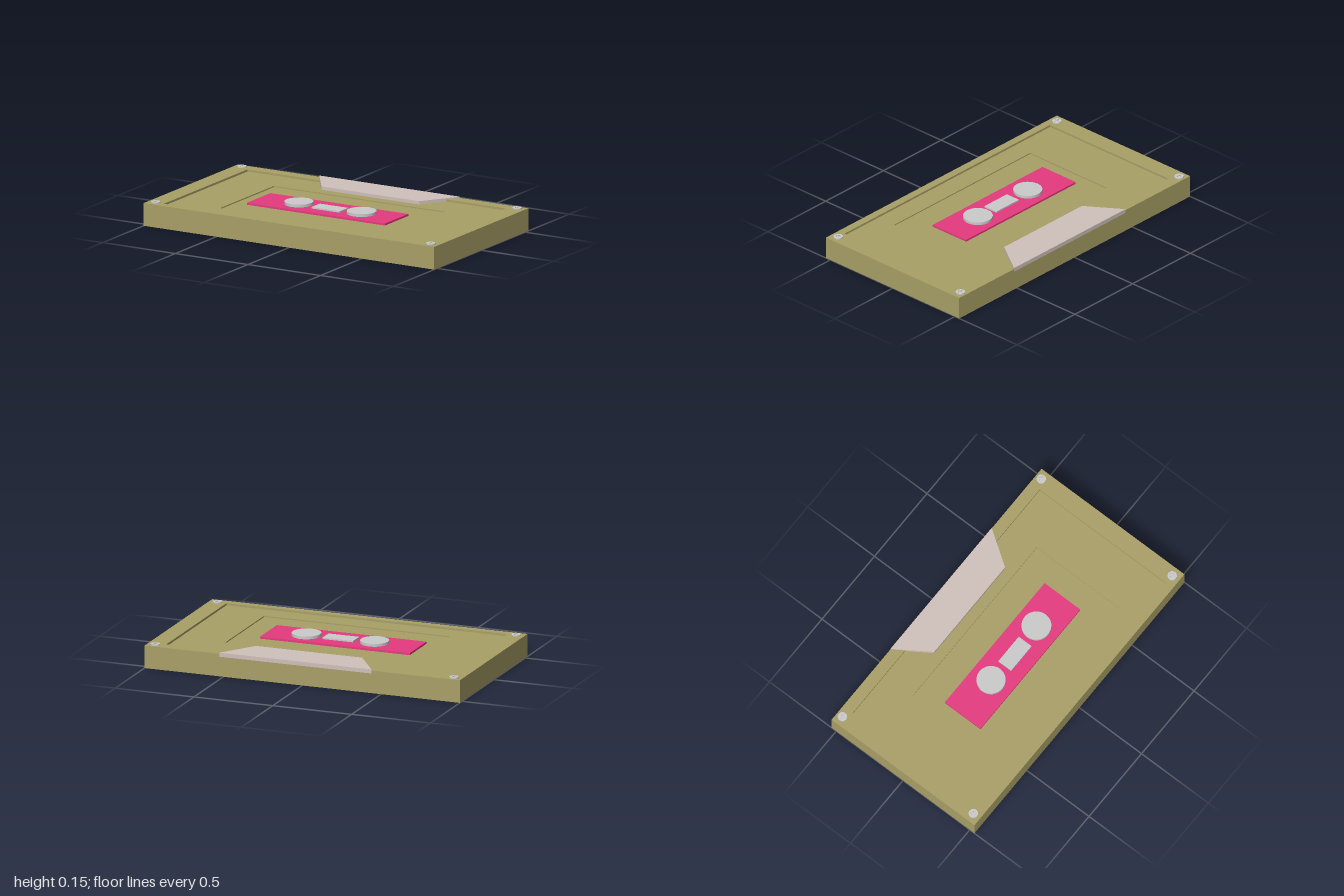
import * as THREE from 'three';

const material = (color) => new THREE.MeshStandardMaterial({ color, flatShading: true });
const grey = material(0xcccccc);
const shellColor = material(0xa9a067);
const labelColor = material(0xe63a7f);
const plateColor = material(0xd0c1bc);

const FLOOR = 0.118; // inner well
const STEP = 0.125; // outer recess
const RIM = 0.138;

function add(parent, name, geometry, mat, x = 0, y = 0, z = 0) {
  const mesh = new THREE.Mesh(geometry, mat);
  mesh.name = name;
  mesh.position.set(x, y, z);
  parent.add(mesh);
  return mesh;
}

// Closed solid skinned over rectangular sections [x0, x1, z0, z1, y]
function rectLoft(sections) {
  const loops = sections.map(([x0, x1, z0, z1, y]) =>
    [[x0, y, z1], [x1, y, z1], [x1, y, z0], [x0, y, z0]]);
  const pos = [];
  const quad = (a, b, c, d) => pos.push(...a, ...b, ...c, ...a, ...c, ...d);
  const [b0, b1, b2, b3] = loops[0];
  quad(b3, b2, b1, b0);
  for (let k = 0; k < loops.length - 1; k++) {
    for (let i = 0; i < 4; i++) {
      const j = (i + 1) % 4;
      quad(loops[k][i], loops[k][j], loops[k + 1][j], loops[k + 1][i]);
    }
  }
  quad(...loops[loops.length - 1]);
  const geometry = new THREE.BufferGeometry();
  geometry.setAttribute('position', new THREE.Float32BufferAttribute(pos, 3));
  geometry.computeVertexNormals();
  return geometry;
}

// Outline in plan, raised upward
function slab(shape, height) {
  return new THREE.ExtrudeGeometry(shape, { depth: height, bevelEnabled: false, curveSegments: 24 })
    .rotateX(-Math.PI / 2);
}

// Box between plan limits and heights
function block(parent, name, mat, x0, x1, z0, z1, y0, y1) {
  return add(parent, name, new THREE.BoxGeometry(x1 - x0, y1 - y0, z1 - z0), mat,
    (x0 + x1) / 2, (y0 + y1) / 2, (z0 + z1) / 2);
}

// Round screw head with a shallow cross recess
function screw() {
  const group = new THREE.Group();
  group.name = 'screw';
  const head = new THREE.Shape().absarc(0, 0, 0.028, 0, Math.PI * 2);
  const a = 0.017, b = 0.005;
  const cross = [[a, b], [b, b], [b, a], [-b, a], [-b, b], [-a, b],
    [-a, -b], [-b, -b], [-b, -a], [b, -a], [b, -b], [a, -b]];
  head.holes.push(new THREE.Path(cross.map(([x, y]) => new THREE.Vector2(x, y))));
  add(group, 'screwHead', slab(head, 0.007), grey);
  add(group, 'screwCore', new THREE.CylinderGeometry(0.026, 0.026, 0.008, 24), grey, 0, -0.003, 0);
  return group;
}

export function createModel() {
  const model = new THREE.Group();
  model.name = 'cassette';

  // Shell with a raised rim and two stepped recesses
  add(model, 'shell', rectLoft([
    [-1, 1, -0.535, 0.535, 0],
    [-1, 1, -0.535, 0.535, RIM],
    [-0.89, 0.89, -0.463, 0.487, RIM],
    [-0.89, 0.89, -0.463, 0.487, STEP],
    [-0.58, 0.6, -0.255, 0.36, STEP],
    [-0.58, 0.6, -0.255, 0.36, FLOOR],
  ]), shellColor);

  // Label panel, window and reels
  block(model, 'label', labelColor, -0.5, 0.45, -0.08, 0.187, FLOOR - 0.01, 0.13);
  block(model, 'window', grey, -0.105, 0.09, 0.01, 0.106, 0.12, 0.139);
  for (const [x, r] of [[-0.225, 0.086], [0.207, 0.088]]) {
    add(model, 'reel', new THREE.CylinderGeometry(r, r, 0.027, 48), grey, x, 0.1335, 0.05);
  }

  // Tapered plate at the tape opening
  const plate = new THREE.Shape([[-0.295, 0.32], [0.38, 0.32], [0.525, 0.535], [-0.44, 0.535]]
    .map(([x, y]) => new THREE.Vector2(x, y)));
  add(model, 'tapePlate', slab(plate, 0.025), plateColor, 0, 0.12, -0.0005);

  // Corner screws
  for (const x of [-0.947, 0.947]) {
    for (const z of [-0.495, 0.485]) {
      const s = screw();
      s.position.set(x, RIM, z);
      model.add(s);
    }
  }
  return model;
}
